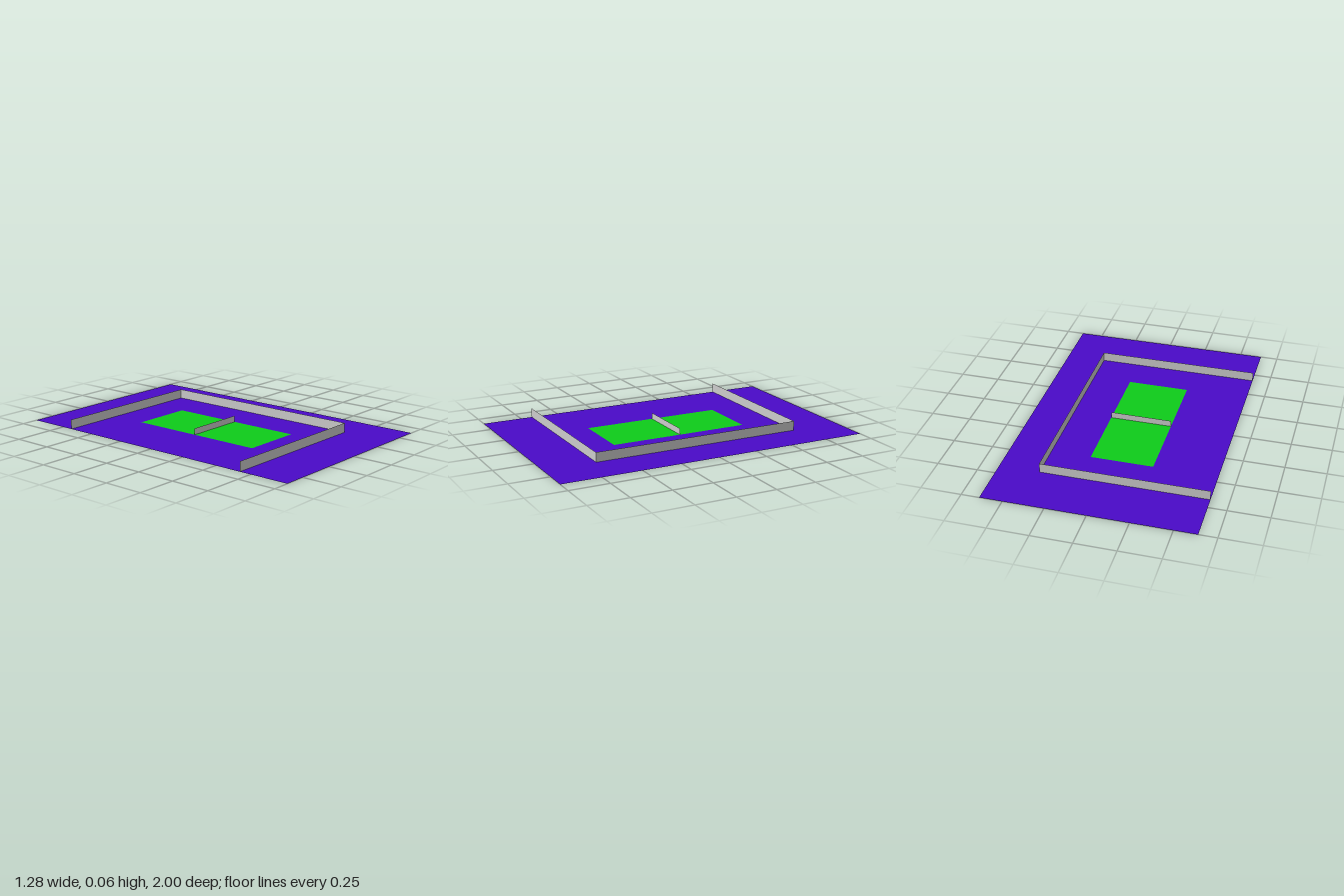
import * as THREE from 'three';

export function createModel() {
  const model = new THREE.Group();
  const W = 0.64, D = 1; // half extents of the ground
  const court = { x0: -0.245, x1: 0.142, z: 0.448 };
  const wallEnd = 0.388, wallZ = 0.675;

  const material = (color) => new THREE.MeshStandardMaterial({ color, side: THREE.DoubleSide });
  const grey = material(0xcccccc);

  const add = (name, geometry, mat) => {
    const mesh = new THREE.Mesh(geometry, mat);
    mesh.name = name;
    model.add(mesh);
    return mesh;
  };

  const rectangle = (Type, x0, x1, z) => new Type([
    new THREE.Vector2(x0, -z), new THREE.Vector2(x1, -z),
    new THREE.Vector2(x1, z), new THREE.Vector2(x0, z),
  ]);
  const flat = (shape) => new THREE.ShapeGeometry(shape).rotateX(-Math.PI / 2);

  // Ground sheet, cut out around the court
  const ground = rectangle(THREE.Shape, -W, W, D);
  ground.holes.push(rectangle(THREE.Path, court.x0, court.x1, court.z));
  add('ground', flat(ground), material(0x4a0ac8));

  // Playing surface
  add('court', flat(rectangle(THREE.Shape, court.x0, court.x1, court.z)), material(0x0ecc1a));

  // Upright sheet running along x, standing on the ground
  const upright = (name, x0, x1, z, height) => add(name,
    new THREE.PlaneGeometry(x1 - x0, height).translate((x0 + x1) / 2, height / 2, z), grey);

  upright('net', court.x0, court.x1, 0, 0.04);

  // Low fence, open on the -x side
  upright('frontFence', -W, wallEnd, wallZ, 0.06);
  upright('backFence', -W, wallEnd, -wallZ, 0.06).geometry.rotateY(0);
  add('sideFence',
    new THREE.PlaneGeometry(2 * wallZ, 0.06).rotateY(Math.PI / 2).translate(wallEnd, 0.03, 0), grey);

  return model;
}
